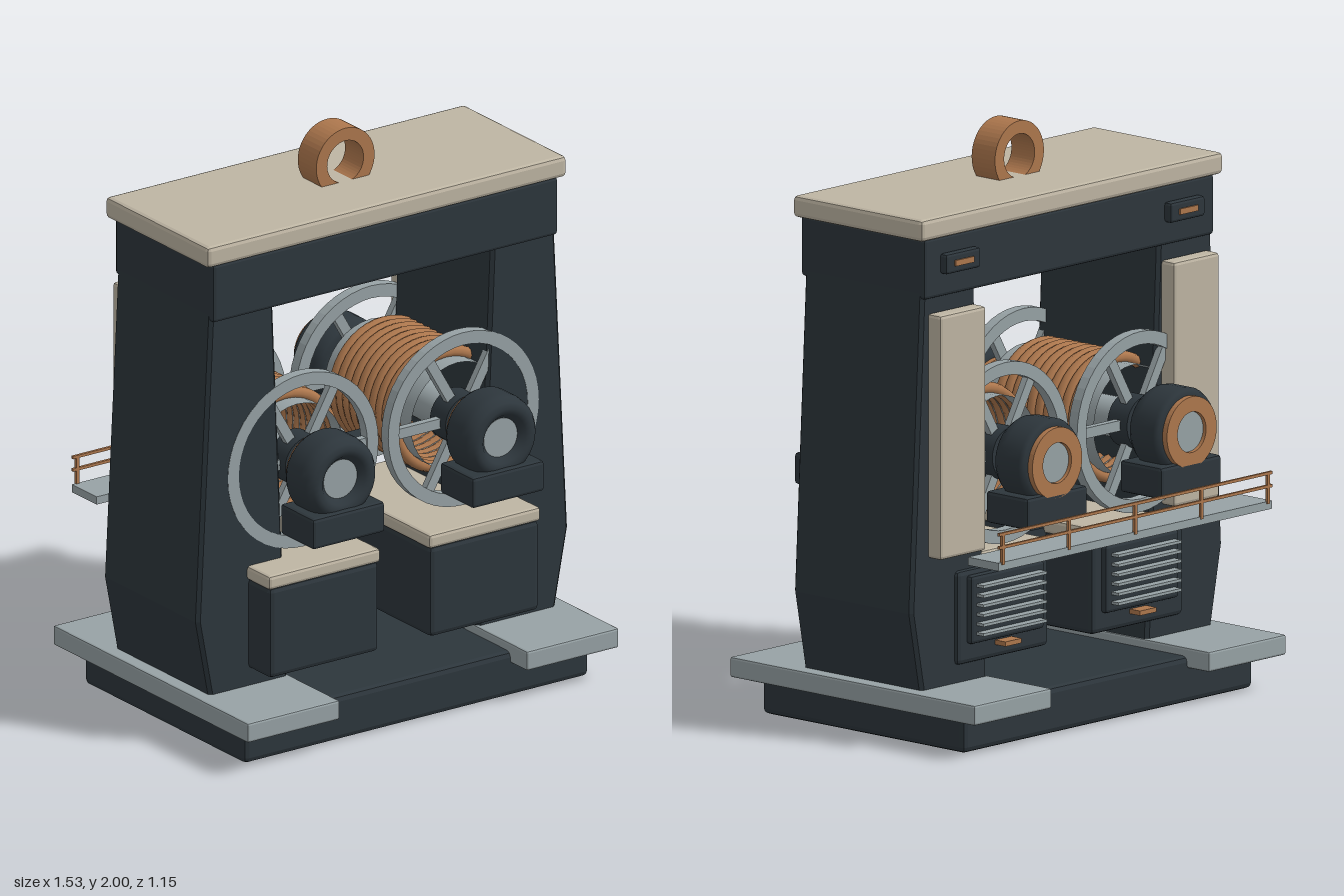
import * as THREE from 'three';
import { RoundedBoxGeometry } from 'three/addons/geometries/RoundedBoxGeometry.js';

const material = (name, color, side = THREE.FrontSide) => {
  const m = new THREE.MeshStandardMaterial({ color, side });
  m.name = name;
  return m;
};

export function createModel() {
  const root = new THREE.Group();
  root.name = 'twinDrumWinch';
  const dark = material('darkSteel', 0x2d363c);
  const grey = material('greySteel', 0x97a2a5, THREE.DoubleSide);
  const cream = material('creamPaint', 0xbeb5a3);
  const copper = material('copper', 0xad774d);

  const add = (name, geo, mat, x = 0, y = 0, z = 0, parent = root) => {
    const mesh = new THREE.Mesh(geo, mat);
    mesh.name = name;
    mesh.position.set(x, y, z);
    parent.add(mesh);
    return mesh;
  };

  // Chamfered box given by its extents on each axis
  const box = (name, mat, [x0, x1], [y0, y1], [z0, z1], bevel = 0.012) => {
    const geo = bevel
      ? new RoundedBoxGeometry(x1 - x0, y1 - y0, z1 - z0, 1, bevel)
      : new THREE.BoxGeometry(x1 - x0, y1 - y0, z1 - z0);
    if (bevel) geo.computeVertexNormals();
    return add(name, geo, mat, (x0 + x1) / 2, (y0 + y1) / 2, (z0 + z1) / 2);
  };
  // Same, mirrored: s = 1 or -1 flips the x extents
  const span = (s, a, b) => (s > 0 ? [a, b] : [-b, -a]);

  const cylinderZ = (r, z0, z1, open = false) =>
    new THREE.CylinderGeometry(r, r, z1 - z0, 32, 1, open)
      .rotateX(Math.PI / 2).translate(0, 0, (z0 + z1) / 2);

  const ringGeo = (outer, inner, z0, z1) => {
    const shape = new THREE.Shape().absarc(0, 0, outer, 0, Math.PI * 2);
    shape.holes.push(new THREE.Path().absarc(0, 0, inner, 0, Math.PI * 2, true));
    return new THREE.ExtrudeGeometry(shape, { depth: z1 - z0, bevelEnabled: false, curveSegments: 24 })
      .translate(0, 0, z0);
  };

  // Frame: base, top beam, roof, lifting ring, cross beams
  box('base', dark, [-0.71, 0.71], [0, 0.16], [-0.45, 0.48], 0.02);
  box('topBeam', dark, [-0.71, 0.71], [1.53, 1.74], [-0.27, 0.3]);
  box('roof', cream, [-0.74, 0.74], [1.735, 1.81], [-0.285, 0.31], 0.015);
  add('liftingRing', ringGeo(0.12, 0.075, -0.04, 0.067), copper, 0, 1.88, 0);
  box('lowerCrossBeam', dark, [-0.42, 0.42], [0.53, 0.59], [-0.06, 0.06], 0);
  box('upperCrossBeam', dark, [-0.13, 0.13], [0.8, 0.86], [-0.03, 0.03], 0);

  // Rounded motor housing, open in the middle around the shaft
  const housing = new THREE.LatheGeometry([
    [0.06, -0.065], [0.12, -0.065], [0.14, -0.06], [0.148, -0.045], [0.148, 0.03],
    [0.143, 0.058], [0.128, 0.08], [0.108, 0.087], [0.088, 0.08], [0.072, 0.06], [0.06, 0.045],
  ].map(([r, y]) => new THREE.Vector2(r, y)), 32).rotateX(Math.PI / 2);
  const motorRing = ringGeo(0.122, 0.07, -0.085, -0.06);
  const rim = ringGeo(0.31, 0.265, -0.02, 0.02);
  const spoke = new THREE.BoxGeometry(0.2, 0.036, 0.026).translate(0.18, 0, 0);
  const coil = new THREE.TorusGeometry(0.203, 0.021, 8, 40);

  for (const s of [1, -1]) {
    // Column with a kinked outer edge
    const profile = new THREE.Shape([
      [0.39, 0.17], [0.71, 0.17], [0.765, 0.46], [0.71, 1.55], [0.45, 1.55],
    ].map(([x, y]) => new THREE.Vector2(s * x, y)));
    const b = 0.012;
    add('column', new THREE.ExtrudeGeometry(profile, {
      depth: 0.545 - 2 * b, bevelSize: b, bevelThickness: b, bevelOffset: -b, bevelSegments: 1,
    }), dark, 0, 0, -0.26 + b);

    box('deckPad', grey, span(s, 0.385, 0.765), [0.12, 0.19], [-0.55, 0.575], 0.008);
    box('rearPanel', cream, span(s, 0.46, 0.685), [0.64, 1.48], [-0.32, -0.255], 0.012);

    // Machine cabinet with lid and rear vent
    box('cabinet', dark, span(s, 0.105, 0.555), [0.25, 0.575], [-0.275, 0.41], 0.018);
    box('cabinetLid', cream, span(s, 0.1, 0.56), [0.57, 0.62], [-0.25, 0.412], 0.012);
    box('ventFrame', dark, span(s, 0.15, 0.51), [0.32, 0.555], [-0.298, -0.265]);
    for (let i = 0; i < 6; i++) {
      const y = 0.355 + i * 0.033;
      box('ventSlat', grey, span(s, 0.175, 0.485), [y - 0.005, y + 0.005], [-0.33, -0.29], 0);
    }
    box('ventLatch', copper, span(s, 0.29, 0.37), [0.296, 0.312], [-0.322, -0.27], 0);

    // Lamp plate on the rear of the beam
    box('lampPlate', dark, span(s, 0.465, 0.635), [1.61, 1.68], [-0.3, -0.265], 0.01);
    box('lampStrip', copper, span(s, 0.505, 0.595), [1.635, 1.655], [-0.306, -0.29], 0);

    // Winch drum: shaft, hollow core, rope coils and spoked wheels
    const drum = new THREE.Group();
    drum.name = 'winchDrum';
    drum.position.set(s * 0.33, 0.95, 0);
    root.add(drum);
    add('shaft', cylinderZ(0.069, -0.51, 0.5), grey, 0, 0, 0, drum);
    add('drumCore', cylinderZ(0.19, -0.25, 0.25, true), grey, 0, 0, 0, drum);
    for (let i = 0; i < 10; i++) add('ropeCoil', coil, copper, 0, 0, (i - 4.5) * 0.038, drum);
    for (const side of [1, -1]) {
      const wheel = new THREE.Group();
      wheel.name = 'spokedWheel';
      wheel.position.z = side * 0.266;
      drum.add(wheel);
      add('rim', rim, grey, 0, 0, 0, wheel);
      add('hub', cylinderZ(0.092, -0.045, 0.045), dark, 0, 0, 0, wheel);
      for (let k = 0; k < 6; k++) add('spoke', spoke, grey, 0, 0, 0, wheel).rotation.z = k * Math.PI / 3;

      // Motor on its mounting block
      const z = side > 0 ? 0.442 : -0.438;
      add('motorHousing', housing, dark, 0, 0, z, drum);
      add('motorRing', motorRing, copper, 0, 0, z, drum);
      box('motorBlock', dark, span(s, 0.18, 0.477), [0.74, 0.85], [z - 0.085, z + 0.108], 0.012);
    }
  }

  // Rear walkway with handrail
  box('walkway', grey, [-0.67, 0.67], [0.64, 0.668], [-0.572, -0.43], 0);
  for (let i = -2; i <= 2; i++) {
    const x = i * 0.325;
    box('railPost', copper, [x - 0.006, x + 0.006], [0.66, 0.77], [-0.576, -0.566], 0);
  }
  for (const y of [0.72, 0.765]) {
    box('handrail', copper, [-0.67, 0.67], [y - 0.005, y + 0.005], [-0.576, -0.566], 0);
  }
  return root;
}
